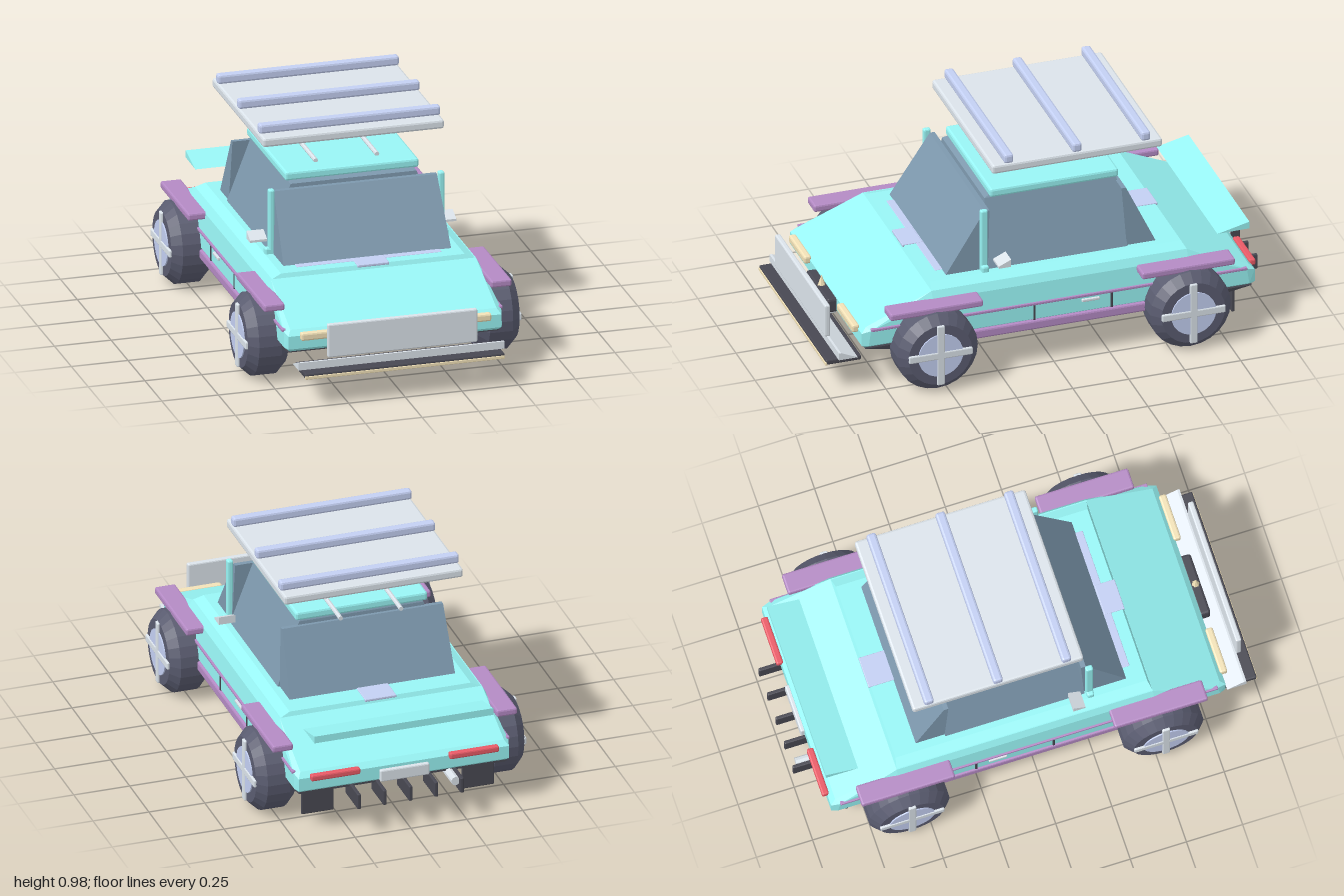
import * as THREE from 'three';
import { RoundedBoxGeometry } from 'three/addons/geometries/RoundedBoxGeometry.js';
import { ConvexGeometry } from 'three/addons/geometries/ConvexGeometry.js';

const paint = (color) => new THREE.MeshStandardMaterial({ color, flatShading: true });

export function createModel() {
  const model = new THREE.Group();
  model.name = 'car';
  const teal = paint(0x98f5f5), purple = paint(0xb48ac4), glass = paint(0x7d98ad);
  const dark = paint(0x484852), tyre = paint(0x5a5c70), lavender = paint(0xc3cff2);
  const grey = paint(0xdbe3ea), beige = paint(0xf2e2b8), red = paint(0xe85a66);

  function add(name, geometry, material, parent = model) {
    const mesh = new THREE.Mesh(geometry, material);
    mesh.name = name;
    parent.add(mesh);
    return mesh;
  }

  // Bevelled box given by its extents on each axis
  function box(name, material, [x0, x1], [y0, y1], [z0, z1], parent = model) {
    const w = x1 - x0, h = y1 - y0, d = z1 - z0;
    const g = new RoundedBoxGeometry(w, h, d, 1, Math.min(0.01, Math.min(w, h, d) * 0.25));
    g.translate((x0 + x1) / 2, (y0 + y1) / 2, (z0 + z1) / 2);
    return add(name, g, material, parent);
  }

  // The same box on the left and on the right
  function pair(name, material, [x0, x1], y, z) {
    box(name + 'Left', material, [x0, x1], y, z);
    box(name + 'Right', material, [-x1, -x0], y, z);
  }

  // Convex solid from corners [half width, y, z], mirrored across x = 0
  function hull(name, material, corners) {
    const points = corners.flatMap(([x, y, z]) =>
      [new THREE.Vector3(x, y, z), new THREE.Vector3(-x, y, z)]);
    return add(name, new ConvexGeometry(points), material);
  }

  // Body shell with sloping bonnet and tail
  hull('body', teal, [
    [0.46, 0.195, 0.83], [0.47, 0.21, 0.848], [0.47, 0.268, 0.848], [0.455, 0.29, 0.825],
    [0.48, 0.21, 0.82], [0.48, 0.28, 0.81], [0.452, 0.41, 0.53], [0.47, 0.375, 0.53],
    [0.452, 0.41, -0.61], [0.47, 0.375, -0.61], [0.48, 0.28, -0.87], [0.48, 0.21, -0.88],
    [0.455, 0.29, -0.885], [0.47, 0.268, -0.908], [0.47, 0.21, -0.908], [0.46, 0.195, -0.89],
  ]);
  // Shoulder flaring from the cabin to the body sides
  hull('shoulder', teal, [
    [0.405, 0.428, 0.52], [0.405, 0.428, -0.6], [0.452, 0.408, 0.53], [0.452, 0.408, -0.61],
  ]);
  hull('floor', dark, [
    [0.46, 0.2, 0.83], [0.46, 0.2, -0.895], [0.465, 0.19, 0.83], [0.465, 0.19, -0.895],
    [0.462, 0.168, 0.72], [0.462, 0.168, -0.77],
  ]);

  // Cabin with tapering sides and wedge-shaped front and rear windows
  hull('sideWindows', glass, [
    [0.38, 0.425, 0.25], [0.38, 0.425, -0.37], [0.278, 0.715, 0.235], [0.278, 0.715, -0.355],
    [0.27, 0.725, 0.21], [0.27, 0.725, -0.35],
  ]);
  hull('windshield', glass, [
    [0.37, 0.425, 0.44], [0.37, 0.425, 0.25], [0.36, 0.7, 0.262], [0.36, 0.7, 0.24],
  ]);
  hull('rearWindow', glass, [
    [0.37, 0.425, -0.5], [0.37, 0.425, -0.37], [0.36, 0.7, -0.37], [0.36, 0.7, -0.35],
  ]);
  box('roof', teal, [-0.295, 0.295], [0.72, 0.76], [-0.36, 0.215]);
  pair('pillar', teal, [0.362, 0.387], [0.42, 0.715], [0.255, 0.287]);
  pair('pillarFoot', teal, [0.37, 0.405], [0.42, 0.455], [0.255, 0.287]);
  box('windshieldTrim', lavender, [-0.32, 0.32], [0.42, 0.43], [0.43, 0.47]);
  box('frontVent', lavender, [-0.07, 0.07], [0.42, 0.432], [0.44, 0.53]);
  box('rearVent', lavender, [-0.07, 0.07], [0.42, 0.432], [-0.61, -0.49]);

  // Wing mirrors
  for (const s of [1, -1]) {
    const pts = [0.38, 0.455].flatMap((x) =>
      [[0.465, 0.23], [0.475, 0.23], [0.5, 0.175], [0.465, 0.175]].map(([y, z]) => new THREE.Vector3(s * x, y, z)));
    add(s > 0 ? 'mirrorLeft' : 'mirrorRight', new ConvexGeometry(pts), grey);
  }

  // Roof rails and raised rack
  for (const x of [-0.135, 0.135]) {
    const rail = add('roofRail', new THREE.CylinderGeometry(0.01, 0.01, 0.61, 8), grey);
    rail.rotation.x = Math.PI / 2;
    rail.position.set(x, 0.767, -0.175);
  }
  box('rackPanel', grey, [-0.4, 0.4], [0.892, 0.933], [-0.52, 0.24]);
  for (const z of [0.165, -0.14, -0.447])
    box('rackBar', lavender, [-0.4, 0.4], [0.933, 0.975], [z - 0.021, z + 0.021]);

  // Tail wing
  hull('wing', teal, [[0.4, 0.426, -0.765], [0.4, 0.428, -0.908], [0.4, 0.46, -0.908]]);

  // Fenders, skirts and door details
  pair('frontFender', purple, [0.455, 0.547], [0.348, 0.38], [0.33, 0.745]);
  pair('rearFender', purple, [0.455, 0.547], [0.348, 0.38], [-0.795, -0.38]);
  pair('sideSkirt', purple, [0.455, 0.487], [0.16, 0.203], [-0.42, 0.37]);
  pair('sideStripe', purple, [0.47, 0.487], [0.277, 0.29], [-0.87, 0.81]);
  for (const z of [0.08, -0.265])
    pair('doorSeam', dark, [0.47, 0.484], [0.205, 0.278], [z - 0.005, z + 0.005]);
  pair('doorHandle', grey, [0.475, 0.49], [0.255, 0.268], [-0.21, -0.13]);

  // Wheels: chamfered tyre, hub disc and crossed spokes
  const tyreProfile = [[0, -0.09], [0.142, -0.09], [0.18, -0.05], [0.18, 0.05], [0.142, 0.09], [0, 0.09]]
    .map(([r, h]) => new THREE.Vector2(r, h));
  const tyreGeometry = new THREE.LatheGeometry(tyreProfile, 24).rotateZ(-Math.PI / 2);
  const hubGeometry = new THREE.CylinderGeometry(0.1, 0.1, 0.02, 24).rotateZ(-Math.PI / 2);
  for (const s of [1, -1]) {
    for (const z of [0.54, -0.59]) {
      const wheel = new THREE.Group();
      wheel.name = (z > 0 ? 'frontWheel' : 'rearWheel') + (s > 0 ? 'Left' : 'Right');
      add('tyre', tyreGeometry, tyre, wheel);
      add('hub', hubGeometry, lavender, wheel).position.x = 0.086;
      box('spoke', grey, [0.08, 0.1], [-0.142, 0.142], [-0.017, 0.017], wheel);
      box('spoke', grey, [0.08, 0.1], [-0.017, 0.017], [-0.142, 0.142], wheel);
      wheel.position.set(s * 0.51, 0.18, z);
      wheel.rotation.y = s > 0 ? 0 : Math.PI;
      model.add(wheel);
    }
  }

  // Nose: lights, grille, plate, bumper and splitter
  pair('headlight', beige, [0.21, 0.42], [0.25, 0.285], [0.84, 0.873]);
  box('grille', dark, [-0.14, 0.14], [0.2, 0.265], [0.84, 0.89]);
  box('grilleTrim', grey, [-0.115, 0.115], [0.183, 0.2], [0.84, 0.88]);
  add('noseOrnament', new THREE.ConeGeometry(0.018, 0.05, 6), beige).position.set(0, 0.287, 0.868);
  box('frontPlate', grey, [-0.33, 0.33], [0.2, 0.35], [0.94, 0.965]);
  hull('bumper', grey, [
    [0.455, 0.15, 0.86], [0.455, 0.15, 0.945], [0.455, 0.183, 0.945], [0.455, 0.183, 0.935],
  ]);
  box('splitter', dark, [-0.44, 0.44], [0.127, 0.15], [0.84, 0.997]);
  box('splitterLip', beige, [-0.44, 0.44], [0.125, 0.14], [0.99, 1.0]);

  // Tail: lights, plate, fins, exhaust and mud flaps
  pair('tailLight', red, [0.2, 0.42], [0.257, 0.285], [-0.93, -0.9]);
  box('rearPlate', grey, [-0.11, 0.11], [0.2, 0.255], [-0.925, -0.9]);
  for (let i = -2; i <= 2; i++)
    box('diffuserFin', dark, [i * 0.115 - 0.008, i * 0.115 + 0.008], [0.13, 0.2], [-1.0, -0.84]);
  const exhaust = add('exhaust', new THREE.CylinderGeometry(0.02, 0.02, 0.12, 10), grey);
  exhaust.rotation.x = Math.PI / 2;
  exhaust.position.set(-0.207, 0.18, -0.92);
  pair('mudFlap', dark, [0.288, 0.43], [0.055, 0.19], [-0.832, -0.818]);

  return model;
}
